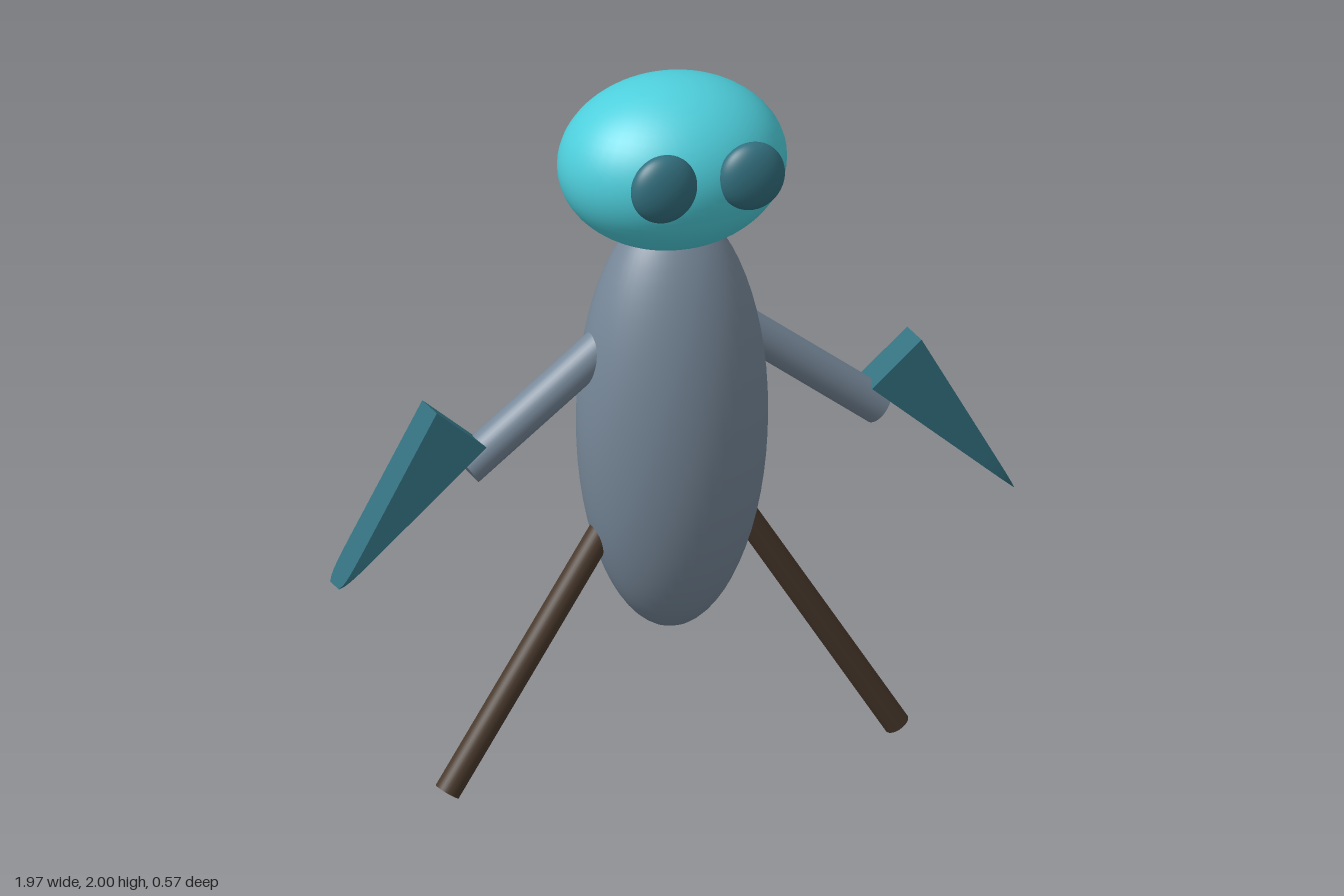
import * as THREE from 'three';

const Z = -0.018; // depth of the body axis

const paint = (color) => new THREE.MeshStandardMaterial({ color });
const cyan = paint(0x4ecfdc);
const teal = paint(0x33707f);
const slate = paint(0x778899);
const brown = paint(0x4a3a2d);

function ellipsoid(name, material, center, radii) {
  const mesh = new THREE.Mesh(new THREE.SphereGeometry(1, 48, 32), material);
  mesh.name = name;
  mesh.position.set(...center);
  mesh.scale.set(...radii);
  return mesh;
}

// Straight round limb between two points
function rod(name, material, from, to, radius) {
  const a = new THREE.Vector3(...from);
  const b = new THREE.Vector3(...to);
  const axis = b.clone().sub(a);
  const mesh = new THREE.Mesh(new THREE.CylinderGeometry(radius, radius, axis.length(), 32), material);
  mesh.name = name;
  mesh.position.copy(a).add(b).multiplyScalar(0.5);
  mesh.quaternion.setFromUnitVectors(new THREE.Vector3(0, 1, 0), axis.normalize());
  return mesh;
}

// Wedge narrowing to an edge at the bottom, with the edge's ends rounded off
function clawGeometry(width, length, depth) {
  const geometry = new THREE.BoxGeometry(1, length, 1, 1, 32, 6);
  const p = geometry.attributes.position;
  for (let i = 0; i < p.count; i++) {
    const s = 0.5 - p.getY(i) / length; // 0 at the base, 1 at the tip
    const t = Math.max(0, (s - 0.75) / 0.25);
    const taper = 1 - 0.12 * t * t - 0.28 * t ** 8;
    p.setX(i, p.getX(i) * width * Math.max(1 - s, 0.005));
    p.setZ(i, p.getZ(i) * depth * taper);
  }
  geometry.computeVertexNormals();
  return geometry;
}

export function createModel() {
  const model = new THREE.Group();
  model.name = 'bigEyedFigure';

  model.add(ellipsoid('body', slate, [0, 1.02, Z], [0.267, 0.61, 0.215]));
  model.add(ellipsoid('head', cyan, [0, 1.76, Z], [0.318, 0.24, 0.267]));

  const claw = clawGeometry(0.189, 0.545, 0.104);
  for (const side of [1, -1]) {
    const prefix = side > 0 ? 'left' : 'right';
    model.add(ellipsoid(prefix + 'Eye', teal, [side * 0.128, 1.79, 0.239], [0.095, 0.097, 0.049]));
    model.add(rod(prefix + 'Arm', slate, [side * 0.17, 1.276, Z], [side * 0.602, 0.956, Z], 0.053));
    model.add(rod(prefix + 'Leg', brown, [side * 0.19, 0.734, Z], [side * 0.656, 0.02, Z], 0.036));

    const hand = new THREE.Mesh(claw, teal);
    hand.name = prefix + 'Claw';
    hand.position.set(side * 0.81, 0.879, Z);
    hand.rotation.z = side * Math.atan2(0.35, 0.418);
    model.add(hand);
  }
  return model;
}
